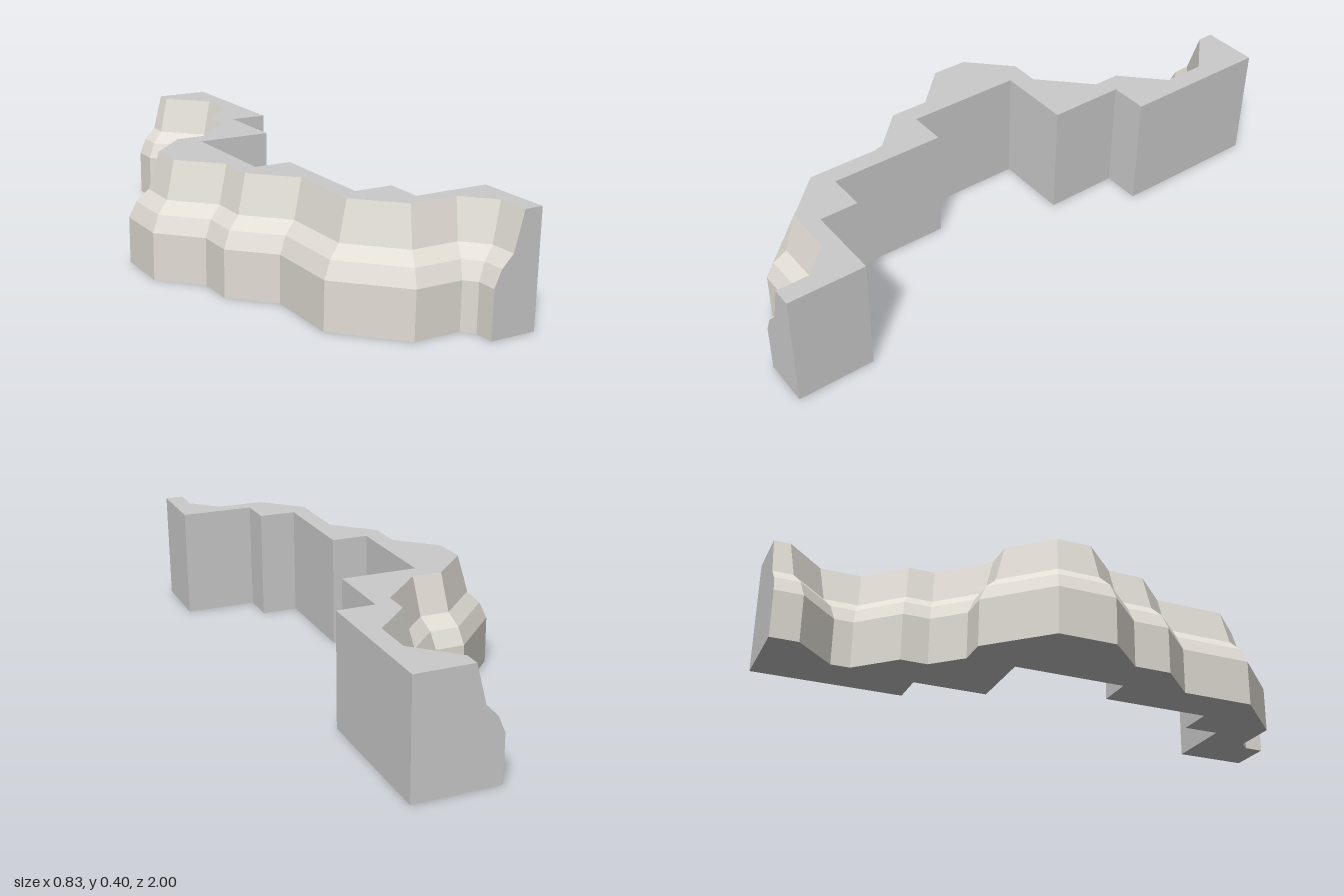
import * as THREE from 'three';

// Plan outlines as [x, z], running from the back end to the front end.
const FOOT = [
  [-0.016, -1], [-0.016, -0.902], [0.117, -0.767], [0.117, -0.7], [-0.016, -0.568], [-0.016, -0.473],
  [-0.115, -0.373], [-0.22, -0.373], [-0.415, -0.177], [-0.415, 0.029], [-0.283, 0.162], [-0.283, 0.295],
  [-0.15, 0.428], [-0.15, 0.696], [0.047, 0.893], [0.215, 0.893], [0.25, 0.93], [0.25, 1],
];
const CREST = [
  [0.084, -1], [0.084, -0.943], [0.217, -0.808], [0.217, -0.659], [0.084, -0.527], [0.084, -0.432],
  [-0.074, -0.273], [-0.179, -0.273], [-0.315, -0.136], [-0.315, -0.012], [-0.183, 0.121], [-0.183, 0.254],
  [-0.05, 0.387], [-0.05, 0.655], [0.088, 0.793], [0.257, 0.793], [0.35, 0.889], [0.35, 1],
];
const BACK = [
  [0.283, -1], [0.283, -0.468], [0.15, -0.468], [0.15, -0.202], [-0.117, -0.202], [-0.117, 0.202],
  [0.015, 0.202], [0.015, 0.602], [0.15, 0.602], [0.15, 0.735], [0.415, 0.735], [0.415, 1],
];
// Face profile: [height, fraction of the way from foot to crest].
const PROFILE = [[0, 0], [0.167, 0], [0.225, 0.25], [0.267, 0.66], [0.4, 1]];
const HEIGHT = 0.4;

const rock = new THREE.MeshStandardMaterial({ color: 0xe2ded6, flatShading: true });
const grey = new THREE.MeshStandardMaterial({ color: 0xcccccc, flatShading: true });

// Quad bands between successive levels, each level being { y, path }.
function loft(levels) {
  const pos = [];
  for (let l = 0; l < levels.length - 1; l++) {
    const lo = levels[l], hi = levels[l + 1];
    for (let i = 0; i < lo.path.length - 1; i++) {
      const at = (level, k) => [level.path[k][0], level.y, level.path[k][1]];
      const a = at(lo, i), b = at(lo, i + 1), c = at(hi, i + 1), d = at(hi, i);
      pos.push(...a, ...b, ...c, ...a, ...c, ...d);
    }
  }
  const geo = new THREE.BufferGeometry();
  geo.setAttribute('position', new THREE.Float32BufferAttribute(pos, 3));
  geo.computeVertexNormals();
  return geo;
}

function flat(points) {
  return new THREE.ShapeGeometry(new THREE.Shape(points.map(([x, y]) => new THREE.Vector2(x, y))));
}

export function createModel() {
  const group = new THREE.Group();
  const add = (name, geo, material) => {
    const mesh = new THREE.Mesh(geo, material);
    mesh.name = name;
    group.add(mesh);
  };
  const backReversed = [...BACK].reverse();

  // Sculpted cliff face
  const levels = PROFILE.map(([y, t]) => ({
    y,
    path: FOOT.map(([x, z], i) => [x + (CREST[i][0] - x) * t, z + (CREST[i][1] - z) * t]),
  }));
  add('cliffFace', loft(levels), rock);

  // Stepped vertical rear wall
  add('rearWall', loft([{ y: 0, path: backReversed }, { y: HEIGHT, path: backReversed }]), grey);

  // Flat top and underside
  const top = flat([...CREST, ...backReversed].map(([x, z]) => [x, -z]));
  add('topSurface', top.rotateX(-Math.PI / 2).translate(0, HEIGHT, 0), grey);
  add('underside', flat([...FOOT, ...backReversed]).rotateX(Math.PI / 2), grey);

  // End walls, cut to the face profile
  const endOutline = (i, backX) => [
    ...levels.map(({ y, path }) => [path[i][0], y]), [backX, HEIGHT], [backX, 0],
  ];
  const last = FOOT.length - 1;
  add('frontEnd', flat(endOutline(last, 0.415)).translate(0, 0, 1), grey);
  const rear = endOutline(0, 0.283).map(([x, y]) => [-x, y]);
  add('backEnd', flat(rear).rotateY(Math.PI).translate(0, 0, -1), grey);

  return group;
}
